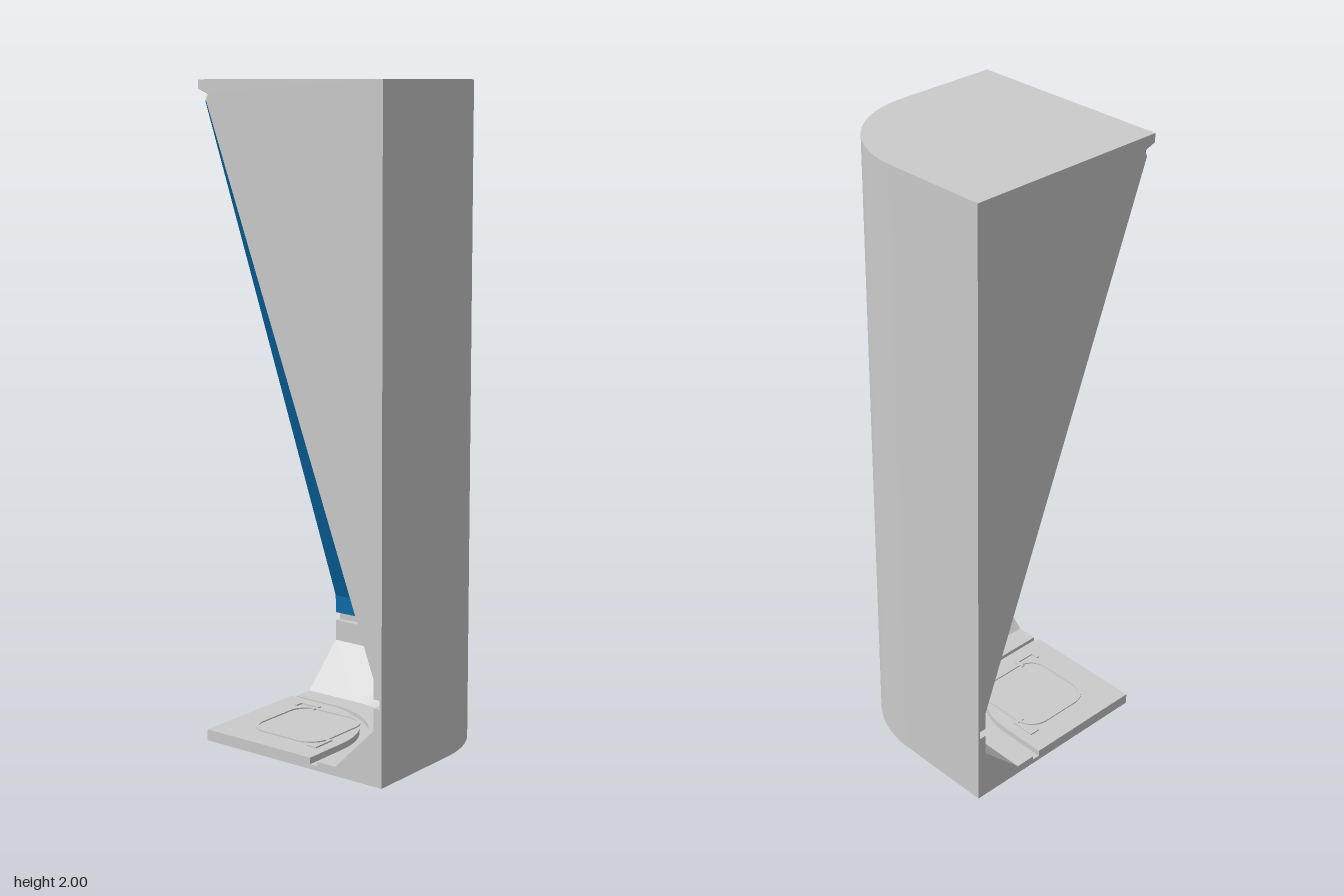
import * as THREE from 'three';

const A = 1 / 3; // the hollow's axis stands at x = z = -A

const grey = new THREE.MeshStandardMaterial({ color: 0xcccccc });
const greyDouble = new THREE.MeshStandardMaterial({ color: 0xcccccc, side: THREE.DoubleSide });
const blue = new THREE.MeshStandardMaterial({ color: 0x0a6cab });

// Quarter outline of a rounded square: half width h, corner radius r
function quarterRing(h, r, y) {
  const c = h - r, n = 24;
  const pts = [[h, 0], [h, c * 0.94]];
  for (let i = 0; i <= n; i++) {
    const a = (i / n) * Math.PI / 2;
    pts.push([c + r * Math.cos(a), c + r * Math.sin(a)]);
  }
  pts.push([c * 0.94, h], [0, h]);
  return pts.map(([u, v]) => [u - A, y, v - A]);
}

// Skin over rows of [h, r, y], smooth around the corner and creased between rows
function loft(rows) {
  const pos = [], idx = [];
  for (let k = 0; k < rows.length - 1; k++) {
    const lower = quarterRing(...rows[k]), upper = quarterRing(...rows[k + 1]);
    const n = lower.length, base = pos.length / 3;
    pos.push(...lower.flat(), ...upper.flat());
    for (let i = 0; i < n - 1; i++) {
      const a = base + i, b = a + 1, c = a + n, d = c + 1;
      idx.push(a, b, c, b, d, c);
    }
  }
  const g = new THREE.BufferGeometry();
  g.setAttribute('position', new THREE.Float32BufferAttribute(pos, 3));
  g.setIndex(idx);
  g.computeVertexNormals();
  return g;
}

function roundedSquare(path, h, r) {
  path.moveTo(h, -h + r);
  path.lineTo(h, h - r);
  path.absarc(h - r, h - r, r, 0, Math.PI / 2);
  path.absarc(-h + r, h - r, r, Math.PI / 2, Math.PI);
  path.absarc(-h + r, -h + r, r, Math.PI, Math.PI * 1.5);
  path.absarc(h - r, -h + r, r, Math.PI * 1.5, Math.PI * 2);
  return path;
}

export function createModel() {
  const model = new THREE.Group();
  const add = (name, geometry, material = grey) => {
    const mesh = new THREE.Mesh(geometry, material);
    mesh.name = name;
    model.add(mesh);
    return mesh;
  };

  // Outer casing with one rounded corner
  add('outerCasing', loft([[0, 0, 2], [2 * A, A, 2], [2 * A, A, 0], [0, 0, 0]]));

  // Hollow interior, from the floor up to the neck
  const tray = [
    [0, 0, 0.035], [0.405, 0.25, 0.035], [0.405, 0.25, 0.015], [0.43, 0.27, 0.015],
    [0.43, 0.27, 0.028], [0.498, 0.3, 0.028], [0.638, 0.305, 0.167], [0.638, 0.305, 0.235],
    [0.66, 0.327, 0.235], [0.66, 0.327, 0.262], [0.638, 0.305, 0.262],
  ];
  const funnel = [[0.638, 0.305, 0.262], [0.638, 0.305, 0.32], [0.03, 0.0143, 1.94]];
  const neck = [[0.03, 0.0143, 1.94], [0.038, 0.018, 1.96], [0, 0, 1.973]];
  add('innerTray', loft(tray));
  add('funnelLining', loft(funnel), blue);
  add('topNeck', loft(neck));

  // Two flat cut faces following the hollow's profile
  const section = new THREE.Shape();
  section.moveTo(0, 0);
  section.lineTo(2 * A, 0);
  section.lineTo(2 * A, 2);
  section.lineTo(0, 2);
  [...tray, ...funnel.slice(1), ...neck.slice(1)].reverse().forEach(([h, , y]) => section.lineTo(h, y));
  const cutGeometry = new THREE.ShapeGeometry(section);
  const backCut = add('backCutFace', cutGeometry, greyDouble);
  const sideCut = add('sideCutFace', cutGeometry, greyDouble);
  for (const face of [backCut, sideCut]) face.position.set(-A, 0, -A);
  sideCut.rotation.y = -Math.PI / 2;

  // Raised outline on the tray floor
  const outline = roundedSquare(new THREE.Shape(), 0.135, 0.07);
  outline.holes.push(roundedSquare(new THREE.Path(), 0.125, 0.06));
  const ring = add('floorOutline', new THREE.ExtrudeGeometry(outline, { depth: 0.004, bevelEnabled: false }));
  ring.rotation.x = -Math.PI / 2;
  ring.position.set(0.22 - A, 0.035, 0.22 - A);

  // Small bracket-shaped tabs, mirrored across the diagonal
  for (const swap of [false, true]) {
    for (const [u, v, w, d] of [[0.365, 0.11, 0.01, 0.08], [0.35, 0.075, 0.03, 0.01], [0.35, 0.145, 0.03, 0.01]]) {
      const tab = add('floorTab', new THREE.BoxGeometry(swap ? d : w, 0.005, swap ? w : d));
      tab.position.set((swap ? v : u) - A, 0.037, (swap ? u : v) - A);
    }
  }
  return model;
}
